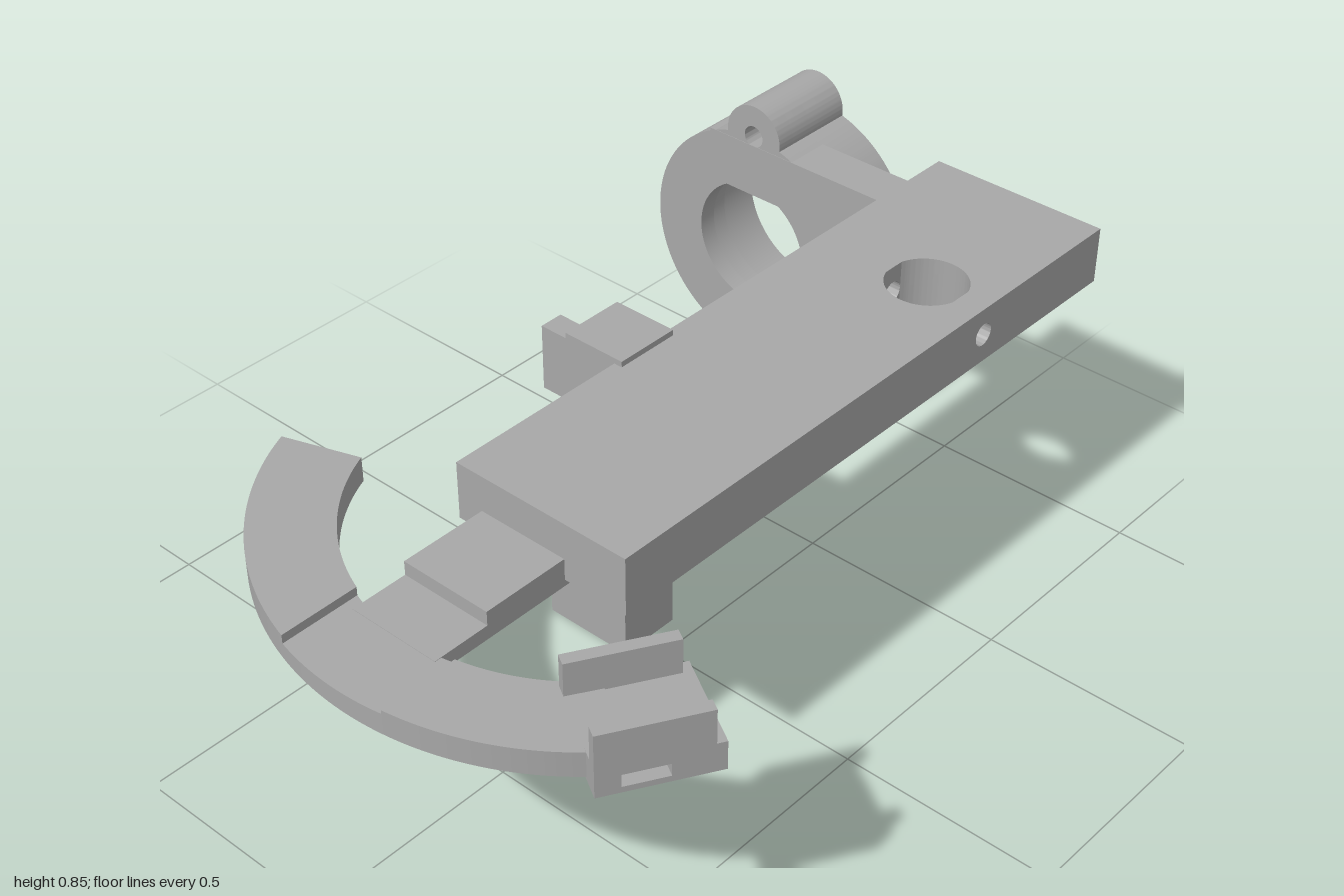
import * as THREE from 'three';
import { toCreasedNormals } from 'three/addons/utils/BufferGeometryUtils.js';

const grey = new THREE.MeshStandardMaterial({ color: 0xa8a8a8 });
grey.name = 'plain grey';
const rad = THREE.MathUtils.degToRad;

function add(parent, name, geometry) {
  const mesh = new THREE.Mesh(geometry, grey);
  mesh.name = name;
  parent.add(mesh);
  return mesh;
}

// box given by its minimum and maximum on each axis
function box(parent, name, x0, x1, y0, y1, z0, z1) {
  const g = new THREE.BoxGeometry(x1 - x0, y1 - y0, z1 - z0);
  g.translate((x0 + x1) / 2, (y0 + y1) / 2, (z0 + z1) / 2);
  return add(parent, name, g);
}

const extrude = (shape, depth) =>
  new THREE.ExtrudeGeometry(shape, { depth, bevelEnabled: false, curveSegments: 40 });

const rectShape = (x0, x1, y0, y1) => new THREE.Shape([
  new THREE.Vector2(x0, y0), new THREE.Vector2(x1, y0),
  new THREE.Vector2(x1, y1), new THREE.Vector2(x0, y1)]);

function roundHole(shape, x, y, r) {
  shape.holes.push(new THREE.Path().absarc(x, y, r, 0, Math.PI * 2, true));
}

// plan outline in (x, z), filled from y0 up to y1
const planSlab = (shape, y0, y1) =>
  extrude(shape, y1 - y0).rotateX(Math.PI / 2).translate(0, y1, 0);

// side outline in (-z, y), filled from x0 to x1
const sideSlab = (shape, x0, x1) =>
  extrude(shape, x1 - x0).rotateY(Math.PI / 2).translate(x0, 0, 0);

function buildDeck(root) {
  const deck = new THREE.Group();
  deck.name = 'deck';
  root.add(deck);
  const y0 = 0.62, y1 = 0.752, cx = 0.2, cz = -0.585, r = 0.09, w = 0.086;
  // side strips with the cross bore
  for (const [x0, x1] of [[-0.08, cx - w], [cx + w, 0.35]]) {
    const s = rectShape(-0.5, 1, y0, y1);
    roundHole(s, -cz, 0.688, 0.026);
    add(deck, 'deckSideStrip', toCreasedNormals(sideSlab(s, x0, x1), 0.6));
  }
  // centre strip, split by the large vertical hole
  const a = Math.acos(w / r);
  for (const [zEnd, sign] of [[0.5, 1], [-1, -1]]) {
    const s = new THREE.Shape();
    s.moveTo(cx - w, zEnd);
    s.lineTo(cx + w, zEnd);
    s.absarc(cx, cz, r, sign * a, sign * (Math.PI - a), sign < 0);
    s.closePath();
    add(deck, 'deckCentreStrip', toCreasedNormals(planSlab(s, y0, y1), 0.6));
  }
}

function buildRing(root) {
  const ring = new THREE.Group();
  ring.name = 'ringMount';
  ring.position.set(-0.432, 0.492, 0);
  root.add(ring);
  const R = 0.283, lug = 0.076, d = 0.283;
  const h = 2 * Math.asin(lug / 2 / R);
  const k = h / 2;
  // layers with a stepped bore, wide at the back
  for (const [z0, z1, bore] of [[-1, -0.88, 0.19], [-0.88, -0.82, 0.172], [-0.82, -0.775, 0.153]]) {
    const s = new THREE.Shape();
    const P = Math.PI;
    s.absarc(0, 0, R, -P / 2 + h, P / 2 - h);
    s.absarc(0, d, lug, -k, P + k);
    s.absarc(0, 0, R, P / 2 + h, 1.5 * P - h);
    s.absarc(0, -d, lug, P - k, 2 * P + k);
    roundHole(s, 0, 0, bore);
    roundHole(s, 0, d, 0.026);
    roundHole(s, 0, -d, 0.026);
    add(ring, 'ringLayer', toCreasedNormals(extrude(s, z1 - z0).translate(0, 0, z0), 0.6));
  }
  box(root, 'ringArm', -0.56, -0.08, 0.625, 0.752, -0.885, -0.774);
}

function buildPost(root) {
  box(root, 'post', -0.213, -0.06, 0, 0.765, -0.087, 0.065);
  for (const [y0, y1] of [[0, 0.153], [0.6, 0.752]])
    box(root, 'postTab', -0.28, -0.213, y0, y1, 0.01, 0.065);
}

function buildArc(root) {
  const cx = 0.11, cz = 0.37, R = 0.625, r = 0.453;
  const bottom = x => 0.617 - 0.042 * (x + 0.475);
  // angles at which a line of constant x meets the outer and inner edges
  const cut = x => [Math.acos((x - cx) / R), Math.acos((x - cx) / r)];
  const left = cut(-0.04), right = cut(0.225);
  const parts = [
    ['arcLeft', left, [rad(158.5), rad(158.5)], null],
    ['arcMiddle', right, left, 0.636],
    ['arcRight', [rad(41), rad(41)], right, null]];
  for (const [name, [o0, i0], [o1, i1], flatTop] of parts) {
    const s = new THREE.Shape();
    s.absarc(cx, cz, R, o0, o1, false);
    s.absarc(cx, cz, r, i1, i0, true);
    s.closePath();
    const g = planSlab(s, 0, 1);
    // lean the slab down toward +x
    const p = g.attributes.position;
    for (let i = 0; i < p.count; i++) {
      const b = bottom(p.getX(i));
      p.setY(i, p.getY(i) < 0.5 ? b : flatTop ?? b + 0.057);
    }
    add(root, name, toCreasedNormals(g, 0.5));
  }
  box(root, 'tongue', -0.017, 0.197, 0.605, 0.637, 0.41, 0.83);
  box(root, 'tongueStep', -0.017, 0.197, 0.62, 0.669, 0.49, 0.7);
}

function buildClip(root) {
  const clip = new THREE.Group();
  clip.name = 'endClip';
  clip.position.set(0.525, 0, 0.525);
  clip.rotation.y = -0.533;
  root.add(clip);
  const W = 0.215, L = 0.238, y0 = 0.567, y1 = 0.632;
  box(clip, 'clipBase', 0, W - 0.04, y0, y1, 0, L);
  // outer edge of the base with a rectangular pocket
  const s = rectShape(-L, 0, y0, y1);
  s.holes.push(new THREE.Path([[-0.19, 0.58], [-0.19, 0.608], [-0.1, 0.608], [-0.1, 0.58]]
    .map(([x, y]) => new THREE.Vector2(x, y))));
  add(clip, 'clipSlottedEdge', sideSlab(s, W - 0.04, W));
  for (const x of [0, W - 0.027])
    box(clip, 'clipWall', x, x + 0.027, y1, 0.71, 0.02, L);
}

export function createModel() {
  const root = new THREE.Group();
  root.name = 'bracketAssembly';
  buildDeck(root);
  buildRing(root);
  buildPost(root);
  buildArc(root);
  buildClip(root);
  return root;
}
